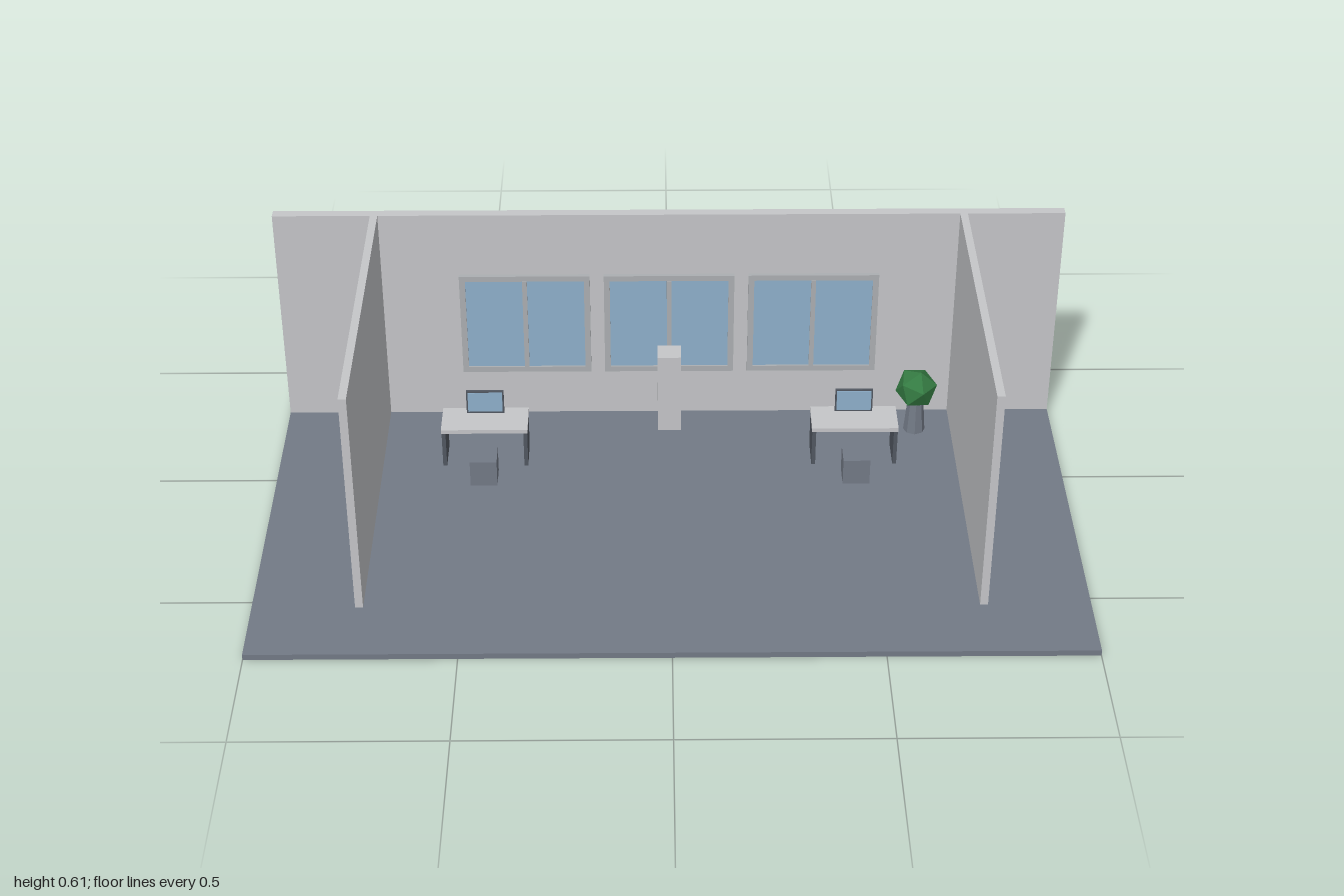
import * as THREE from 'three';

const material = (name, color, extra = {}) => {
  const m = new THREE.MeshStandardMaterial({ color, ...extra });
  m.name = name;
  return m;
};

export function createModel() {
  const model = new THREE.Group();
  model.name = 'office';

  const floorGrey = material('floor grey', 0x737a86);
  const wallGrey = material('wall grey', 0xc5c6c9);
  const frameGrey = material('frame grey', 0xacafb2);
  const glassBlue = material('glass blue', 0x8fb0cb);
  const darkGrey = material('dark grey', 0x525861);
  const leafGreen = material('leaf green', 0x347a42, { flatShading: true });
  const potGrey = material('pot grey', 0x737a86, { flatShading: true });

  // Box given by its lower and upper bounds on each axis
  const box = (parent, name, mat, [x0, x1], [y0, y1], [z0, z1]) => {
    const mesh = new THREE.Mesh(new THREE.BoxGeometry(x1 - x0, y1 - y0, z1 - z0), mat);
    mesh.position.set((x0 + x1) / 2, (y0 + y1) / 2, (z0 + z1) / 2);
    mesh.name = name;
    parent.add(mesh);
    return mesh;
  };
  const group = (name, x = 0) => {
    const g = new THREE.Group();
    g.name = name;
    g.position.x = x;
    model.add(g);
    return g;
  };

  const ground = 0.015;
  const wallFront = -0.287;

  // Floor slab and walls
  box(model, 'floor', floorGrey, [-1, 1], [0, ground], [-0.714, 0.714]);
  box(model, 'backWall', wallGrey, [-1, 1], [ground, 0.612], [-0.313, wallFront]);
  for (const s of [-1, 1]) {
    const x = s * 0.744;
    box(model, s > 0 ? 'leftWall' : 'rightWall', wallGrey,
      [x - 0.0095, x + 0.0095], [ground, 0.612], [wallFront, 0.54]);
  }

  // Three framed windows with a centre mullion
  for (const x of [-0.37, 0, 0.37]) {
    const w = group('window', x);
    const half = 0.167, bar = 0.015, low = 0.148, high = 0.438;
    const depth = [wallFront, -0.276];
    box(w, 'glass', glassBlue, [-half + bar, half - bar], [low + bar, high - bar], [wallFront, -0.281]);
    for (const [y0, y1] of [[low, low + bar], [high - bar, high]])
      box(w, 'frameRail', frameGrey, [-half, half], [y0, y1], depth);
    for (const x0 of [-half, half - bar])
      box(w, 'frameStile', frameGrey, [x0, x0 + bar], [low + bar, high - bar], depth);
    box(w, 'mullion', frameGrey, [-0.006, 0.006], [low + bar, high - bar], [wallFront, -0.274]);
  }

  // Two workplaces: desk, monitor and stool
  for (const x of [-0.472, 0.472]) {
    const d = group('workplace', x);
    box(d, 'deskTop', wallGrey, [-0.11, 0.11], [0.117, 0.128], [-0.138, -0.037]);
    for (const s of [-1, 1])
      box(d, 'deskSide', darkGrey, [s * 0.104 - 0.005, s * 0.104 + 0.005], [ground, 0.117], [-0.134, -0.041]);
    box(d, 'monitor', darkGrey, [-0.048, 0.048], [0.128, 0.194], [-0.121, -0.115]);
    box(d, 'screen', glassBlue, [-0.044, 0.044], [0.133, 0.19], [-0.115, -0.113]);
    box(d, 'stool', floorGrey, [-0.034, 0.034], [ground, 0.086], [-0.022, 0.046]);
  }

  // Pedestal by the back wall
  box(model, 'pedestal', wallGrey, [-0.03, 0.03], [ground, 0.24], [-0.257, -0.198]);

  // Potted plant
  const plant = group('plant', 0.64);
  plant.position.z = -0.2;
  const pot = new THREE.Mesh(new THREE.CylinderGeometry(0.021, 0.028, 0.085, 8), potGrey);
  pot.position.y = ground + 0.0425;
  pot.name = 'pot';
  const foliage = new THREE.Mesh(new THREE.IcosahedronGeometry(0.055), leafGreen);
  foliage.position.y = 0.143;
  foliage.rotation.set(0.3, 0.5, 0.35);
  foliage.name = 'foliage';
  plant.add(pot, foliage);

  return model;
}
